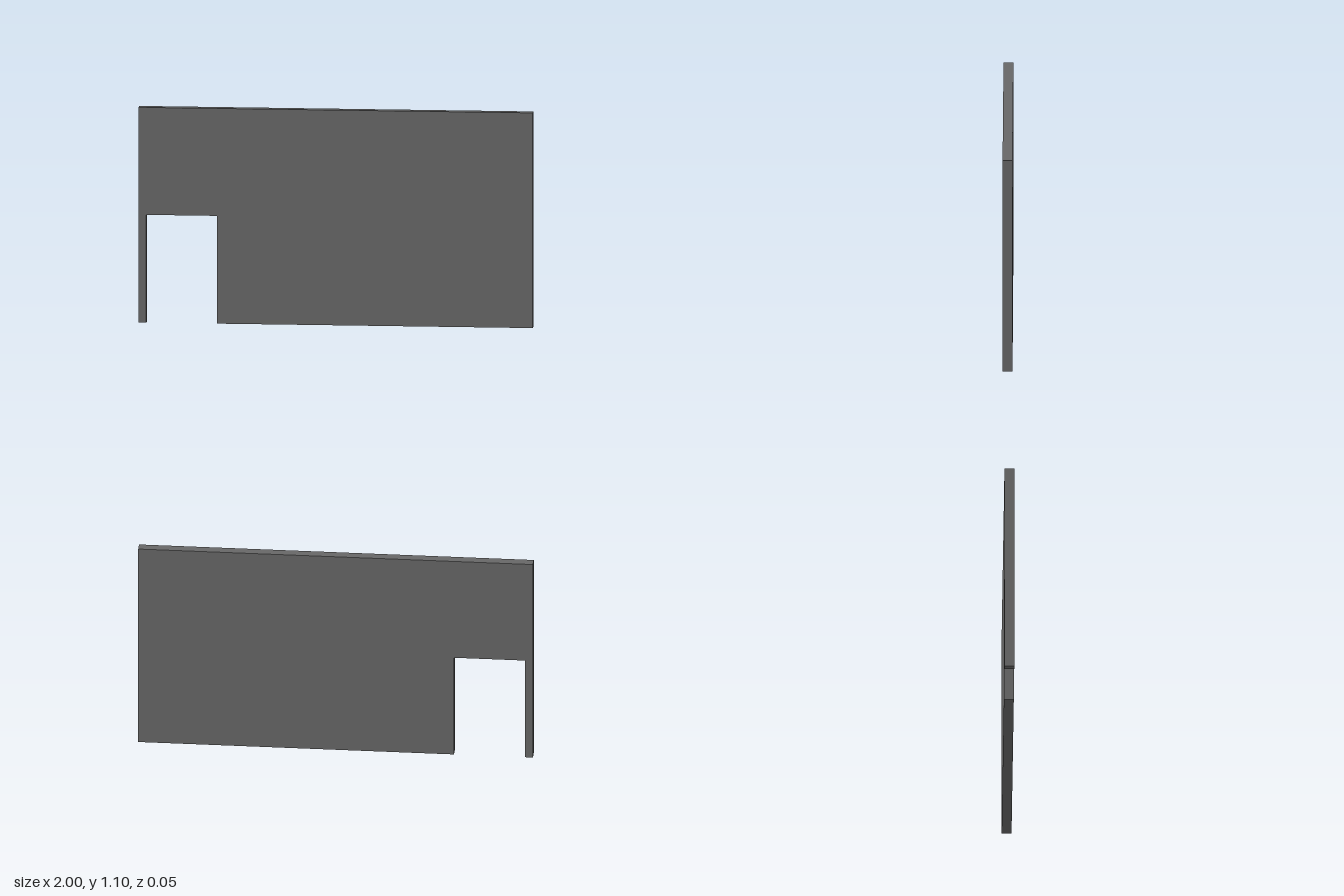
import * as THREE from 'three';

const HEIGHT = 1.098, THICKNESS = 0.05;
const DOOR = { left: -0.96, right: -0.6, top: 0.55 };

export function createModel() {
  const group = new THREE.Group();
  group.name = 'wallWithDoorway';

  // Wall outline, with the doorway notched into the bottom edge
  const outline = new THREE.Shape([
    [-1, 0], [DOOR.left, 0], [DOOR.left, DOOR.top], [DOOR.right, DOOR.top],
    [DOOR.right, 0], [1, 0], [1, HEIGHT], [-1, HEIGHT],
  ].map(([x, y]) => new THREE.Vector2(x, y)));

  // Extruded panel, centred on z = 0
  const geometry = new THREE.ExtrudeGeometry(outline, { depth: THICKNESS, bevelEnabled: false });
  geometry.translate(0, 0, -THICKNESS / 2);

  const wall = new THREE.Mesh(geometry, new THREE.MeshStandardMaterial({ color: 0x666666 }));
  wall.name = 'wall';
  group.add(wall);
  return group;
}
